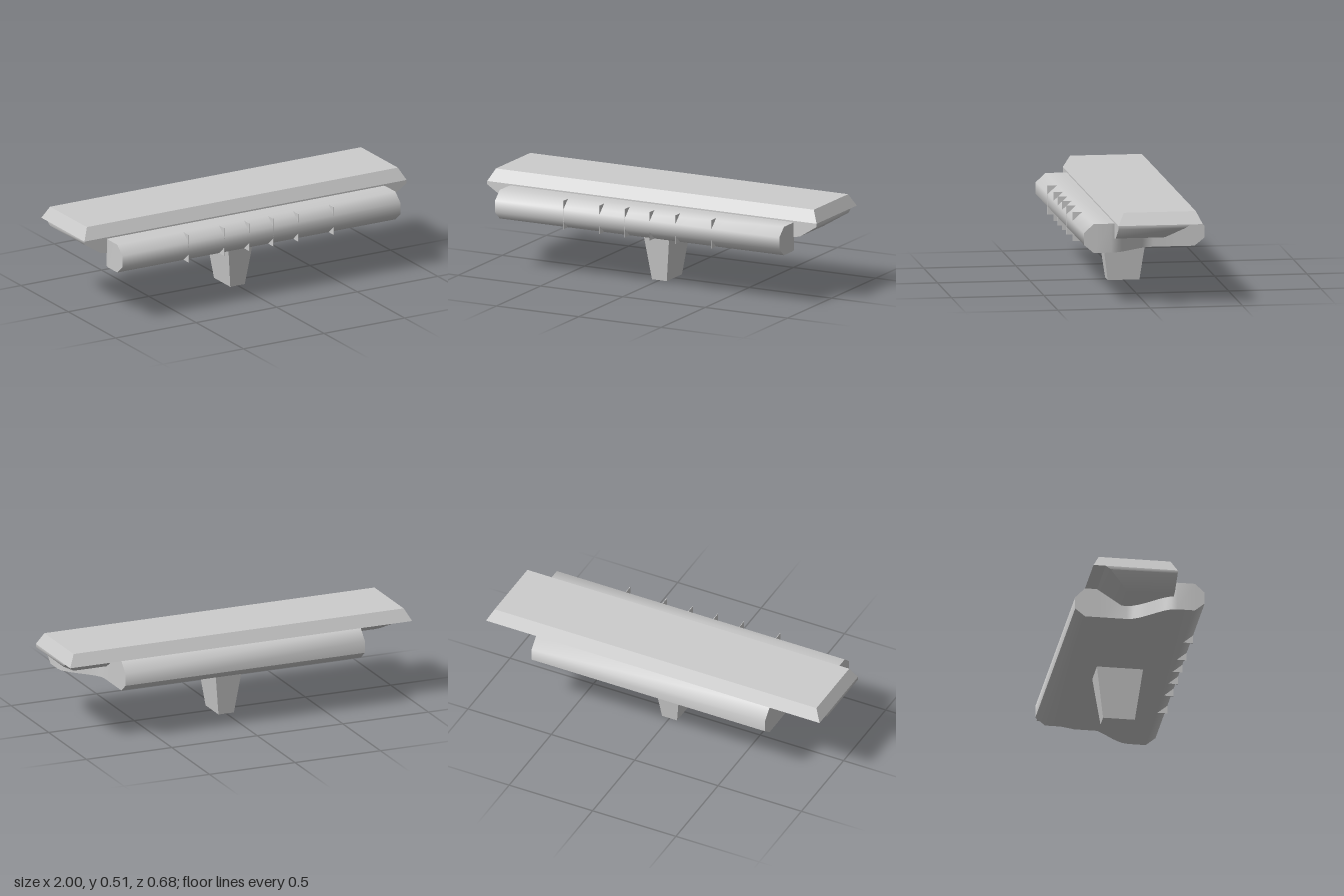
import * as THREE from 'three';
import { toCreasedNormals } from 'three/addons/utils/BufferGeometryUtils.js';

const grey = new THREE.MeshStandardMaterial({ color: 0xcccccc });
grey.name = 'light grey';

// Move every vertex of a geometry by a rule, then sharpen edges above the crease angle.
function reshape(geometry, rule, crease) {
  const p = geometry.attributes.position;
  const v = new THREE.Vector3();
  for (let i = 0; i < p.count; i++) {
    rule(v.fromBufferAttribute(p, i));
    p.setXYZ(i, v.x, v.y, v.z);
  }
  return toCreasedNormals(geometry, crease);
}

export function createModel() {
  const model = new THREE.Group();
  const add = (name, geometry) => {
    const mesh = new THREE.Mesh(geometry, grey);
    mesh.name = name;
    model.add(mesh);
    return mesh;
  };

  // Tapered pedestal
  add('pedestal', reshape(new THREE.BoxGeometry(2, 1, 2), (v) => {
    const top = v.y > 0;
    v.set(v.x * (top ? 0.083 : 0.045), top ? 0.29 : 0, v.z * (top ? 0.126 : 0.086));
  }, 0.1));

  // Lower body: stations from front to back as [z, half width, bottom, top]
  const stations = [
    [0.338, 0.863, 0.328, 0.392], [0.285, 0.863, 0.283, 0.44], [0.19, 0.863, 0.283, 0.44],
  ];
  for (let i = 1; i < 8; i++) {
    const t = i / 8;
    stations.push([0.19 - 0.25 * t, 0.863 - 0.163 * t * t * (3 - 2 * t), 0.283, 0.44]);
  }
  stations.push([-0.06, 0.7, 0.283, 0.44], [-0.2, 0.7, 0.283, 0.448],
    [-0.285, 0.7, 0.283, 0.448], [-0.338, 0.7, 0.325, 0.392]);
  const n = stations.length - 1;
  add('lowerBody', reshape(new THREE.BoxGeometry(2, 1, 1, 1, 1, n), (v) => {
    const [z, w, y0, y1] = stations[Math.round((0.5 - v.z) * n)];
    v.set(v.x * w, v.y > 0 ? y1 : y0, z);
  }, 0.9));

  // Upper hull with cut-in ends and a back that slopes away underneath
  const hull = new THREE.Shape([
    [-1, 0.448], [-1, 0.43], [-0.9, 0.366], [-0.87, 0.36],
    [0.87, 0.36], [0.9, 0.366], [1, 0.43], [1, 0.448],
  ].map(([x, y]) => new THREE.Vector2(x, y)));
  add('upperHull', reshape(new THREE.ExtrudeGeometry(hull, { depth: 1, bevelEnabled: false }), (v) => {
    v.z = v.z > 0.5 ? 0.171 : -0.087 - (v.y - 0.36) * 1.51;
  }, 1.05));

  // Bevelled top deck
  add('topDeck', reshape(new THREE.BoxGeometry(2, 1, 1), (v) => {
    const top = v.y > 0;
    v.set(v.x * (top ? 0.965 : 1), top ? 0.514 : 0.448,
      v.z > 0 ? (top ? 0.137 : 0.171) : (top ? -0.252 : -0.285));
  }, 0.1));

  // Thin fins squaring off the rounded front edge
  for (const x of [0.075, 0.23, 0.45]) {
    for (const side of [-1, 1]) {
      add('frontFin', new THREE.BoxGeometry(0.003, 0.157, 0.055))
        .position.set(side * x, 0.3615, 0.3105);
    }
  }
  return model;
}
